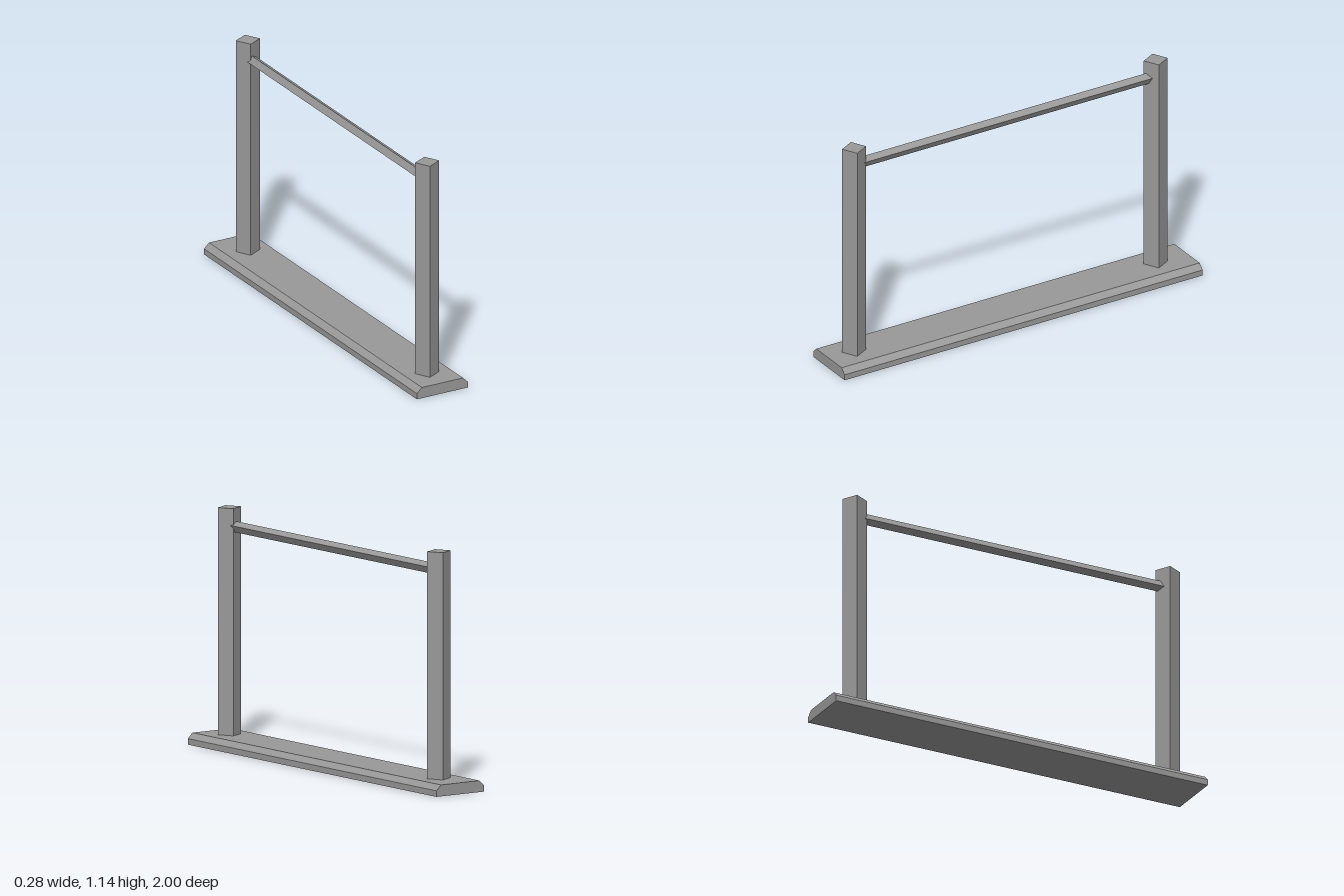
import * as THREE from 'three';

export function createModel() {
  const model = new THREE.Group();
  const grey = new THREE.MeshStandardMaterial({ color: 0x999999 });
  grey.name = 'grey';
  const twist = THREE.MathUtils.degToRad(28);

  const add = (name, geometry, x, y, z) => {
    const mesh = new THREE.Mesh(geometry, grey);
    mesh.name = name;
    mesh.position.set(x, y, z);
    model.add(mesh);
    return mesh;
  };

  // Long base plank with chamfered upper edges
  const profile = new THREE.Shape([
    [-0.14, 0], [0.14, 0], [0.14, 0.029], [0.113, 0.055], [-0.113, 0.055], [-0.14, 0.029],
  ].map(([x, y]) => new THREE.Vector2(x, y)));
  add('base', new THREE.ExtrudeGeometry(profile, { depth: 2, bevelEnabled: false }), 0, 0, -1);

  // Square posts, twisted about their own axis
  for (const [name, z] of [['frontPost', 0.859], ['backPost', -0.826]]) {
    const post = add(name, new THREE.BoxGeometry(0.083, 1.105, 0.083), -0.0015, 0.5925, z);
    post.rotation.y = twist;
  }

  // Square rail between the posts, ends buried in them
  const rail = add('rail', new THREE.BoxGeometry(0.037, 0.037, 1.67), -0.0015, 1.056, 0.0165);
  rail.rotation.z = -twist;

  return model;
}
